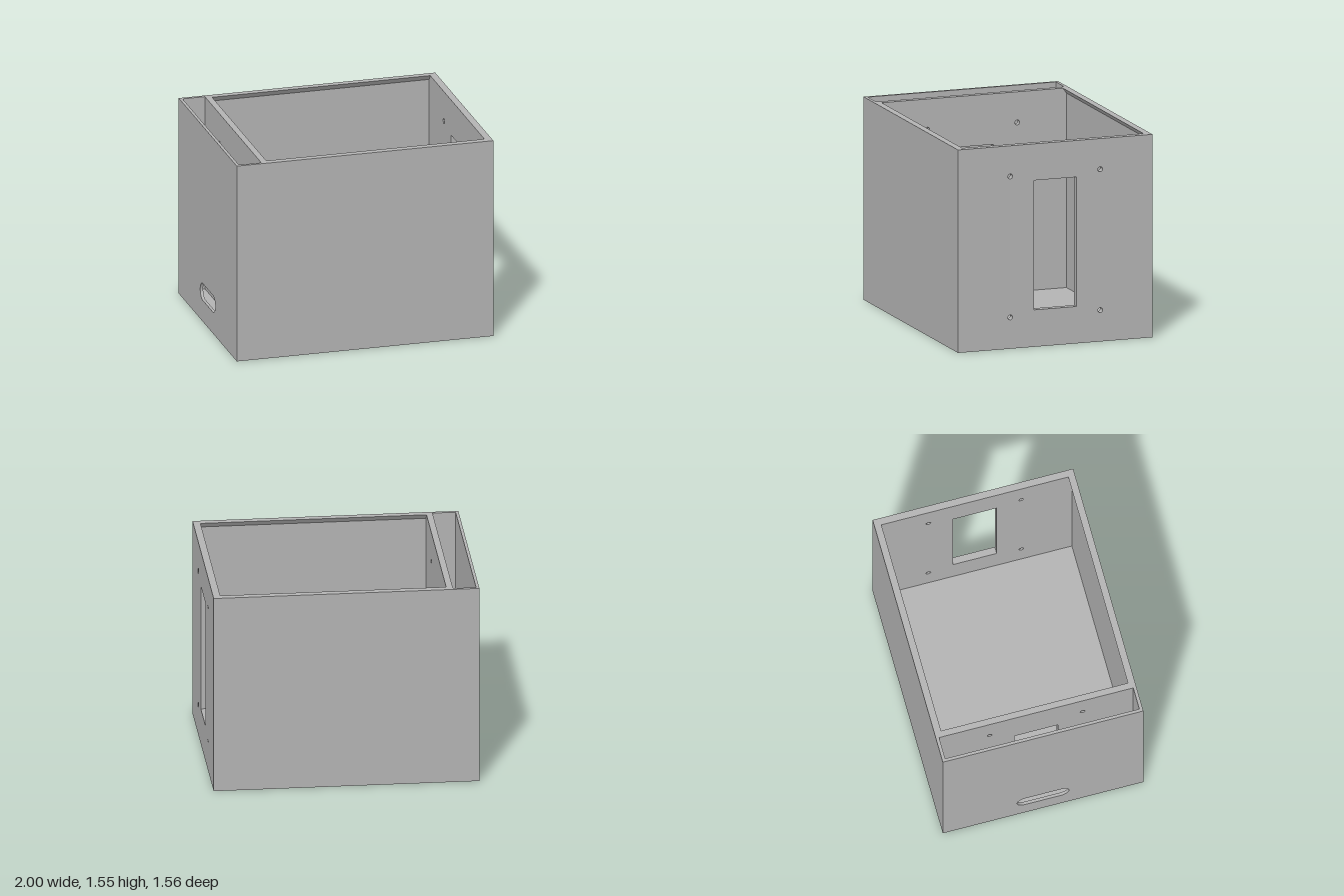
import * as THREE from 'three';

const W = 2, H = 1.555, D = 1.556; // outer size
const T = 0.025;                   // thin wall and floor
const IN = D / 2 - T;              // inner half depth

export function createModel() {
  const group = new THREE.Group();
  const grey = new THREE.MeshStandardMaterial({ color: 0xb3b3b3 });
  grey.name = 'grey';

  const add = (name, geometry, x = 0, y = 0, z = 0) => {
    const mesh = new THREE.Mesh(geometry, grey);
    mesh.name = name;
    mesh.position.set(x, y, z);
    group.add(mesh);
    return mesh;
  };

  // Extrudes a (z, y) outline along x, from x0 to x1
  const alongX = (name, shape, x0, x1) => {
    const geometry = new THREE.ExtrudeGeometry(shape, { depth: x1 - x0, bevelEnabled: false, curveSegments: 16 });
    geometry.rotateY(Math.PI / 2);
    return add(name, geometry, x0);
  };
  const polygon = (pts) => new THREE.Shape(pts.map(([a, b]) => new THREE.Vector2(a, b)));
  const rect = (half, y0, y1) => polygon([[-half, y0], [half, y0], [half, y1], [-half, y1]]);

  // Upright panel with a central window and four screw holes
  const windowPanel = (name, x0, x1, winBottom, winTop) => {
    const shape = rect(IN, T, H);
    shape.holes.push(rect(0.17, winBottom, winTop));
    for (const z of [-0.36, 0.36]) {
      for (const y of [0.24, 1.32]) {
        shape.holes.push(new THREE.Path().absarc(z, y, 0.019, 0, Math.PI * 2, true));
      }
    }
    return alongX(name, shape, x0, x1);
  };

  // Floor, front and back walls
  add('floor', new THREE.BoxGeometry(W, T, D), 0, T / 2, 0);
  for (const [name, s] of [['frontWall', 1], ['backWall', -1]]) {
    add(name, new THREE.BoxGeometry(W, H - T, T), 0, (H + T) / 2, s * (D - T) / 2);
  }

  // Left wall and the partition of the side compartment
  windowPanel('leftWall', 0.946, 1, 0.283, 1.275);
  windowPanel('partition', -0.803, -0.755, 0.39, 1.167);

  // Right wall with a rounded cable slot
  const slotWall = rect(IN, T, H);
  const slot = new THREE.Path();
  slot.absarc(0.135, 0.236, 0.067, -Math.PI / 2, Math.PI / 2, false);
  slot.absarc(-0.135, 0.236, 0.067, Math.PI / 2, Math.PI * 1.5, false);
  slot.closePath();
  slotWall.holes.push(slot);
  alongX('rightWall', slotWall, -1, -0.977);

  // Tapered lips along the top of the main compartment
  for (const [name, s] of [['backLip', 1], ['frontLip', -1]]) {
    alongX(name, polygon([[s * IN, H], [s * 0.725, H], [s * IN, H - 0.04]]), -0.755, 0.946);
  }

  return group;
}
